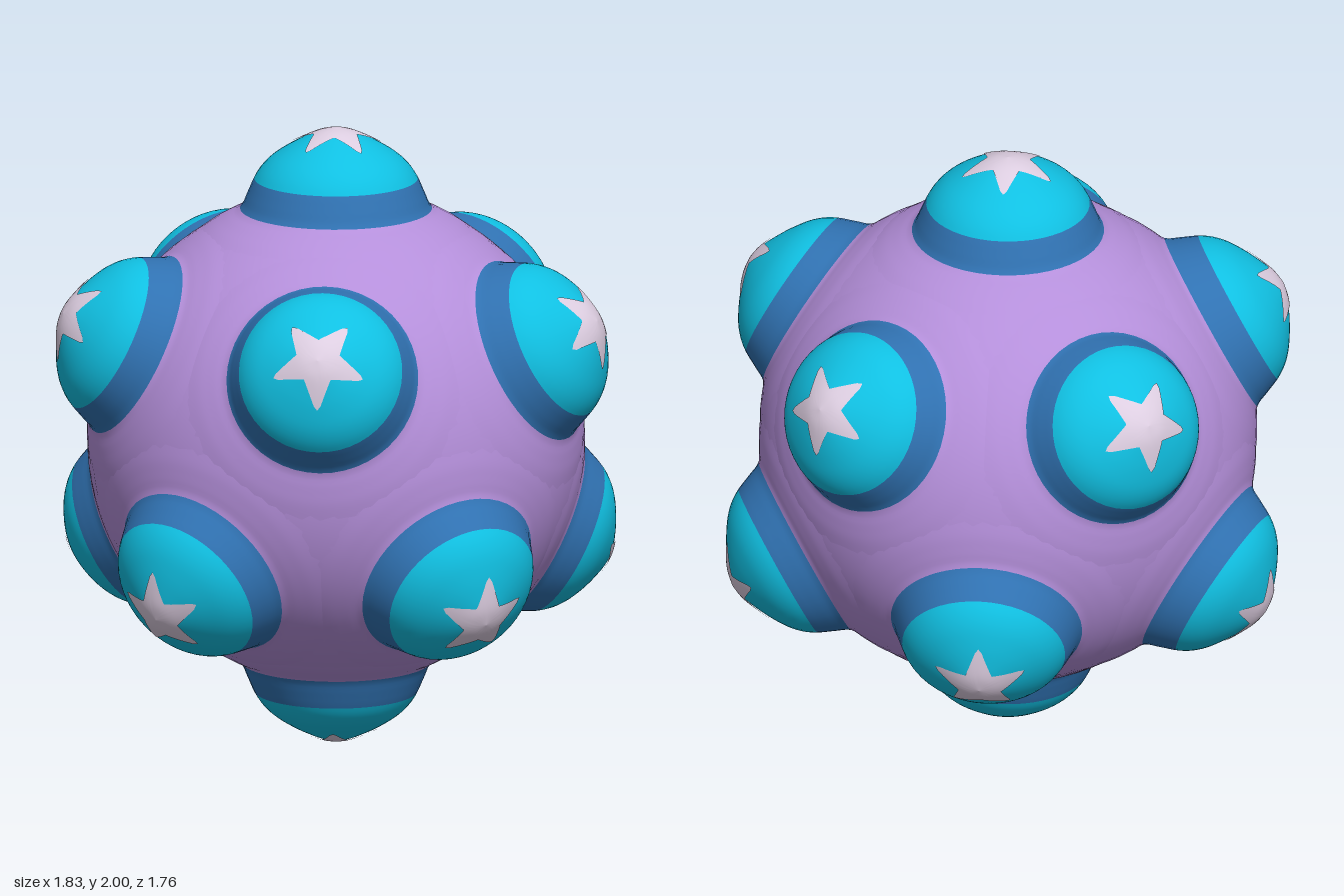
import * as THREE from 'three';

const mat = (name, color) => {
  const m = new THREE.MeshStandardMaterial({ color });
  m.name = name;
  return m;
};

// Knob profile (radius, distance from ball centre), from the skirt up to the tip
const PROFILE = [
  [0.45, 0.645], [0.4, 0.682], [0.35, 0.711], [0.305, 0.737],
  [0.282, 0.785], [0.26, 0.835],
  [0.235, 0.873], [0.2, 0.907], [0.15, 0.94], [0.1, 0.966], [0.05, 0.987], [0, 0.996],
].map(([r, h]) => new THREE.Vector2(r, h));
const STEPS = 4;
const curve = new THREE.SplineCurve(PROFILE).getPoints((PROFILE.length - 1) * STEPS);
curve[curve.length - 1].x = 0;

// Height of the knob surface at a given radius
function heightAt(r) {
  for (let i = curve.length - 1; i > 0; i--) {
    const a = curve[i], b = curve[i - 1];
    if (r <= b.x) return a.y + (b.y - a.y) * (r - a.x) / (b.x - a.x);
  }
  return curve[0].y;
}

// Section of the knob between two profile points
const section = (from, to) =>
  new THREE.LatheGeometry(curve.slice(from * STEPS, to * STEPS + 1), 48);

// Five-pointed star draped over the dome, one tip along +x
function starGeometry() {
  const outer = 0.165, inner = 0.072, blunt = 0.15, n = 80, rings = 8;
  const half = Math.PI / 5;
  const ix = inner * Math.cos(half), iz = inner * Math.sin(half);
  const pos = [], index = [];
  for (let k = 0; k <= rings; k++) {
    for (let i = 0; i < n; i++) {
      const a = (i / n) * Math.PI * 2;
      const m = a % (2 * half);
      const t = Math.min(m, 2 * half - m);
      // ray against the straight edge from tip to notch
      const edge = (outer * iz) / (Math.cos(t) * iz + Math.sin(t) * (outer - ix));
      const r = Math.min(edge, blunt) * k / rings;
      pos.push(r * Math.cos(a), heightAt(r) + 0.004, r * Math.sin(a));
      if (k < rings) {
        const p = k * n + i, q = k * n + (i + 1) % n;
        index.push(p, q + n, p + n);
        if (k > 0) index.push(p, q, q + n);
      }
    }
  }
  const g = new THREE.BufferGeometry();
  g.setAttribute('position', new THREE.Float32BufferAttribute(pos, 3));
  g.setIndex(index);
  g.computeVertexNormals();
  return g;
}

export function createModel() {
  const purple = mat('purple', 0xb48fda);
  const blue = mat('blue', 0x3072b2);
  const cyan = mat('cyan', 0x10c0e2);
  const pale = mat('palePink', 0xdccde0);

  const model = new THREE.Group();
  model.name = 'knobbedBall';
  const add = (parent, name, geometry, material) => {
    const mesh = new THREE.Mesh(geometry, material);
    mesh.name = name;
    parent.add(mesh);
    return mesh;
  };

  // Ball
  add(model, 'body', new THREE.SphereGeometry(0.788, 64, 48), purple).position.y = 1;

  // Knobs at the twelve corners of an icosahedron
  const parts = [
    ['skirt', section(0, 3), purple],
    ['band', section(3, 5), blue],
    ['dome', section(5, PROFILE.length - 1), cyan],
    ['star', starGeometry(), pale],
  ];
  const addKnob = (axis, tip) => {
    const knob = new THREE.Group();
    knob.name = 'knob';
    parts.forEach((p) => add(knob, ...p));
    const side = new THREE.Vector3().crossVectors(tip, axis);
    knob.quaternion.setFromRotationMatrix(new THREE.Matrix4().makeBasis(tip, axis, side));
    knob.position.y = 1;
    model.add(knob);
  };
  const c = 1 / Math.sqrt(5), s = 2 / Math.sqrt(5);
  for (const sign of [1, -1]) {
    addKnob(new THREE.Vector3(0, sign, 0), new THREE.Vector3(-sign, 0, 0));
    for (let i = 0; i < 5; i++) {
      const a = (i * 2 * Math.PI) / 5, x = Math.cos(a), z = Math.sin(a);
      addKnob(
        new THREE.Vector3(s * x, c, s * z).multiplyScalar(sign),
        new THREE.Vector3(c * x, -s, c * z).multiplyScalar(sign),
      );
    }
  }
  return model;
}
